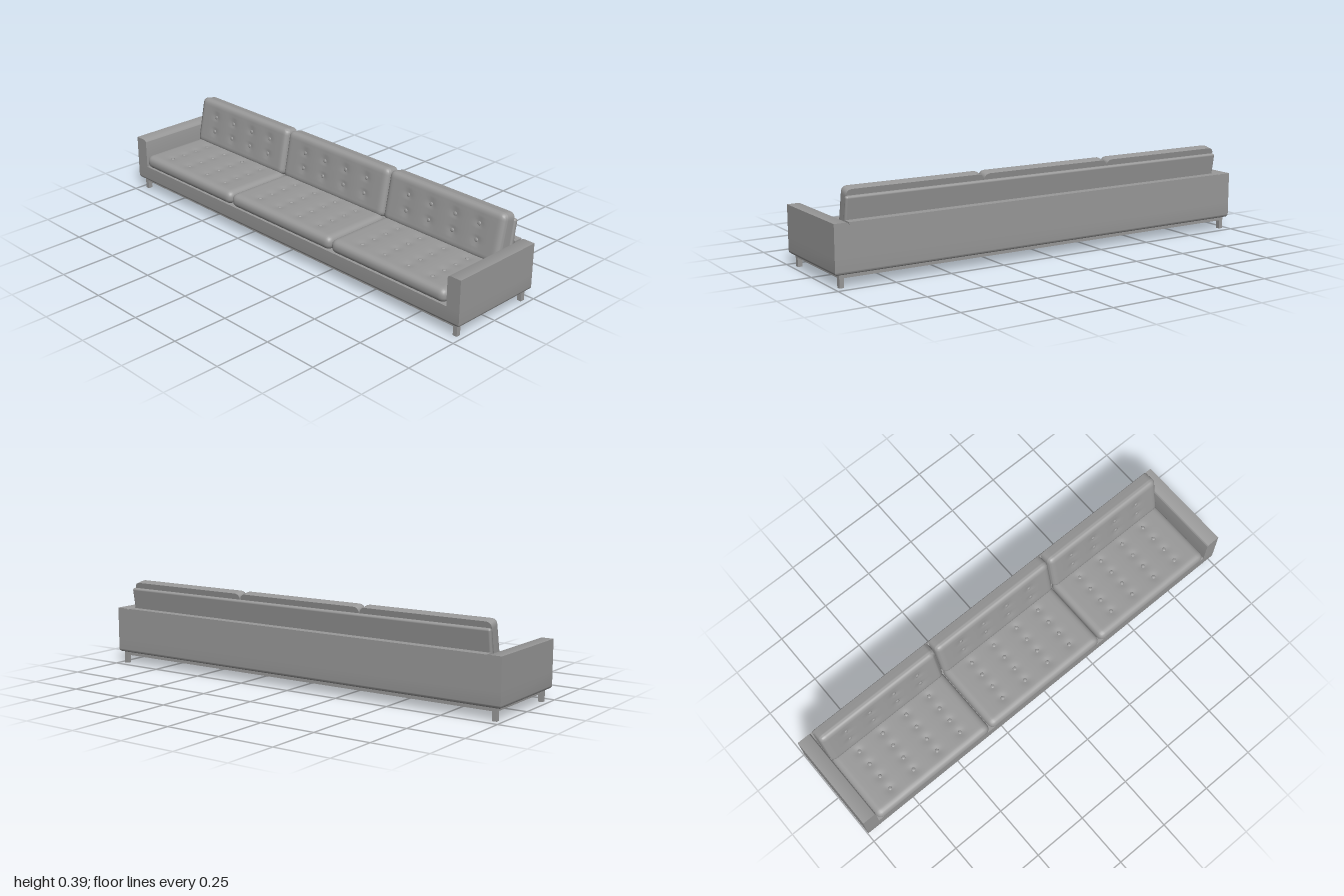
import * as THREE from 'three';
import { mergeVertices, toCreasedNormals } from 'three/addons/utils/BufferGeometryUtils.js';
import { RoundedBoxGeometry } from 'three/addons/geometries/RoundedBoxGeometry.js';

const greyFabric = new THREE.MeshStandardMaterial({ color: 0x999999 });
greyFabric.name = 'grey';

function add(parent, name, geometry, x = 0, y = 0, z = 0) {
  const mesh = new THREE.Mesh(geometry, greyFabric);
  mesh.name = name;
  mesh.position.set(x, y, z);
  parent.add(mesh);
  return mesh;
}

// Box given by its limits
function block(parent, name, x0, x1, y0, y1, z0, z1) {
  return add(parent, name, new THREE.BoxGeometry(x1 - x0, y1 - y0, z1 - z0),
    (x0 + x1) / 2, (y0 + y1) / 2, (z0 + z1) / 2);
}

// Slab whose lower edges curve inwards
function baseGeometry(w, h, d, r) {
  const steps = 6;
  const geo = new THREE.BoxGeometry(w, 1, d, 1, steps + 1, 1);
  const p = geo.attributes.position;
  for (let i = 0; i < p.count; i++) {
    const row = Math.round((p.getY(i) + 0.5) * (steps + 1));
    const a = Math.min(row / steps, 1) * Math.PI / 2;
    const inset = r * (1 - Math.sin(a));
    p.setXYZ(i, p.getX(i) - Math.sign(p.getX(i)) * inset,
      row > steps ? h / 2 : -h / 2 + r * (1 - Math.cos(a)),
      p.getZ(i) - Math.sign(p.getZ(i)) * inset);
  }
  return toCreasedNormals(geo, 0.6);
}

// Soft cushion: rounded box, dimpled on its upper face at each button
function cushionGeometry(w, h, d, r, buttons, flatUnder) {
  const geo = new THREE.BoxGeometry(w, h, d, Math.round(w / 0.01), 10, Math.round(d / 0.011));
  geo.deleteAttribute('uv');
  geo.deleteAttribute('normal');
  const p = geo.attributes.position;
  const v = new THREE.Vector3(), core = new THREE.Vector3();
  const inner = new THREE.Vector3(w / 2 - r, h / 2 - r, d / 2 - r);
  const lower = inner.clone().negate();
  if (flatUnder) lower.y = -h / 2;
  for (let i = 0; i < p.count; i++) {
    v.fromBufferAttribute(p, i);
    core.copy(v).clamp(lower, inner);
    const offset = v.clone().sub(core);
    if (offset.lengthSq() > 1e-12 && (offset.x || offset.z || v.y > 0 || !flatUnder)) {
      // Only the outermost shell is pushed to the full radius
      const reach = Math.max(Math.abs(offset.x), Math.abs(offset.y), Math.abs(offset.z));
      v.copy(core).addScaledVector(offset.normalize(), reach);
    }
    if (v.y > h / 2 - r) {
      for (const [bx, bz] of buttons) {
        const q = (v.x - bx) ** 2 + (v.z - bz) ** 2;
        v.y -= 0.004 * Math.exp(-q / 0.0003) + 0.002 * Math.exp(-q / 0.0015);
      }
    }
    p.setXYZ(i, v.x, v.y, v.z);
  }
  const welded = mergeVertices(geo, 1e-5);
  if (flatUnder) return toCreasedNormals(welded, 0.9);
  welded.computeVertexNormals();
  return welded;
}

// Cushion together with its buttons
function tuftedCushion(name, w, h, d, r, rows, flatUnder) {
  const group = new THREE.Group();
  group.name = name;
  const buttons = [];
  for (const x of rows) for (const z of [-0.19, -0.064, 0.064, 0.19]) buttons.push([x, z]);
  add(group, name + 'Pad', cushionGeometry(w, h, d, r, buttons, flatUnder));
  for (const [x, z] of buttons) {
    add(group, 'button', new THREE.SphereGeometry(0.009, 12, 8), x, h / 2 - 0.005, z).scale.y = 0.4;
  }
  return group;
}

export function createModel() {
  const sofa = new THREE.Group();
  sofa.name = 'sofa';

  // Upholstered frame
  add(sofa, 'base', baseGeometry(0.449, 0.072, 2, 0.013), 0.0025, 0.089, 0);
  block(sofa, 'backFrame', 0.187, 0.227, 0.125, 0.26, -0.935, 0.935);

  // Arms with a softened inner top edge
  const profile = new THREE.Shape();
  profile.moveTo(1, 0.125);
  profile.lineTo(1, 0.26);
  profile.lineTo(0.949, 0.26);
  profile.absarc(0.949, 0.246, 0.014, Math.PI / 2, Math.PI, false);
  profile.lineTo(0.935, 0.125);
  const armGeo = toCreasedNormals(new THREE.ExtrudeGeometry(profile,
    { depth: 0.449, bevelEnabled: false, curveSegments: 6 }), 0.6);
  const leftArm = add(sofa, 'arm', armGeo, 0.227, 0, 0);
  leftArm.rotation.y = -Math.PI / 2;
  const rightArm = add(sofa, 'arm', armGeo, -0.222, 0, 0);
  rightArm.rotation.y = Math.PI / 2;

  // Seat and back cushions in three bays
  const bays = [[-0.934, -0.322], [-0.322, 0.304], [0.304, 0.928]];
  for (const [z0, z1] of bays) {
    const mid = (z0 + z1) / 2, len = z1 - z0 - 0.004;
    const seat = tuftedCushion('seatCushion', 0.348, 0.062, len, 0.028,
      [-0.103, -0.034, 0.036, 0.107], false);
    seat.position.set(-0.054, 0.156, mid);
    sofa.add(seat);
    const back = tuftedCushion('backCushion', 0.22, 0.062, len, 0.024, [-0.035, 0.035], true);
    back.rotation.z = 1.37;
    back.position.set(0.136, 0.278, mid);
    sofa.add(back);
  }

  // Leaning board behind the cushions
  const board = add(sofa, 'backBoard', new RoundedBoxGeometry(0.18, 0.021, 1.866, 3, 0.009), 0.177, 0.266, 0);
  board.rotation.z = 1.41;

  // Metal underframe and legs
  for (const s of [-1, 1]) {
    block(sofa, 'endRail', -0.203, 0.215, 0.039, 0.055, s * 0.968 - 0.01, s * 0.968 + 0.01);
    const x = s < 0 ? -0.193 : 0.205;
    block(sofa, 'longRail', x - 0.01, x + 0.01, 0.039, 0.055, -0.958, 0.958);
    for (const t of [-1, 1]) {
      block(sofa, 'leg', x - 0.01, x + 0.01, 0, 0.039, t * 0.968 - 0.01, t * 0.968 + 0.01);
    }
  }
  return sofa;
}
